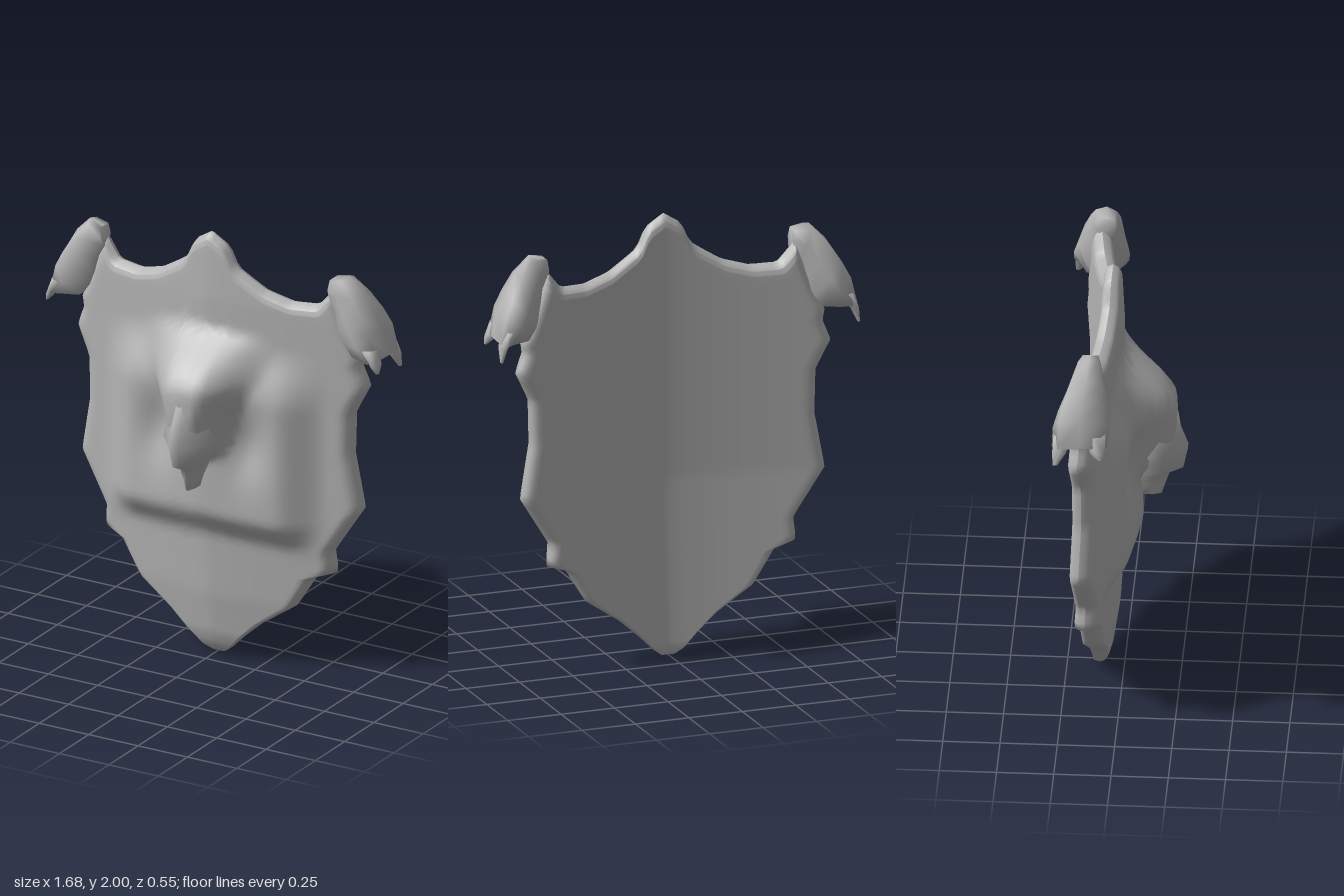
import * as THREE from 'three';

// Piecewise-linear lookup through [key, value] pairs
function lerpTable(table, k) {
  if (k <= table[0][0]) return table[0][1];
  for (let i = 1; i < table.length; i++) {
    const [a, va] = table[i - 1], [b, vb] = table[i];
    if (k <= b) return va + ((vb - va) * (k - a)) / (b - a);
  }
  return table[table.length - 1][1];
}
const smooth = (a, b, x) => THREE.MathUtils.smoothstep(x, a, b);

// Skin a list of equal-length closed rings; optional end caps
function loft(rings, caps) {
  const n = rings[0].length, pos = rings.flat(2), idx = [];
  for (let r = 0; r < rings.length - 1; r++) {
    for (let i = 0; i < n; i++) {
      const j = (i + 1) % n, a = r * n + i, b = r * n + j;
      idx.push(a, b, b + n, a, b + n, a + n);
    }
  }
  if (caps) {
    const last = (rings.length - 1) * n;
    for (let i = 1; i < n - 1; i++) {
      idx.push(0, i + 1, i, last, last + i, last + i + 1);
    }
  }
  const geo = new THREE.BufferGeometry();
  geo.setAttribute('position', new THREE.Float32BufferAttribute(pos, 3));
  geo.setIndex(idx);
  geo.computeVertexNormals();
  return geo;
}

// Half width of the plate by height
const OUTLINE = [
  [0, 0.03], [0.03, 0.07], [0.1, 0.14], [0.18, 0.23], [0.29, 0.39], [0.45, 0.49],
  [0.48, 0.58], [0.58, 0.57], [0.8, 0.71], [1.05, 0.665], [1.25, 0.67],
  [1.38, 0.735], [1.47, 0.7], [1.52, 0.71], [1.6, 0.67], [1.75, 0.61], [1.83, 0.58],
];
// Height of the top edge by distance from the middle
const TOP = [
  [0, 2], [0.08, 1.95], [0.12, 1.86], [0.25, 1.77], [0.36, 1.735], [0.48, 1.74], [0.58, 1.83],
];
const SPINE = [[0, -0.09], [0.1, -0.05], [0.3, -0.02], [0.6, 0], [1.7, 0], [2, -0.015]];
const RIDGE = [
  [0.98, 0], [1.08, 0.13], [1.2, 0.15], [1.35, 0.15], [1.42, 0.12], [1.5, 0.06], [1.57, 0],
];
const RIDGE_WIDTH = [[1, 0.14], [1.2, 0.2], [1.35, 0.28], [1.5, 0.34]];

// Front surface: curved plate, wide raised mask, central brow ridge
function frontZ(x, y) {
  const ax = Math.abs(x);
  const base = lerpTable(SPINE, y) - 0.17 * Math.pow(ax, 1.3);
  const dome = 0.08 * (1 - smooth(0.36, 0.56, ax)) * smooth(0.58, 0.74, y + ax * 0.06) *
    (1 - smooth(1.3, 1.58, y + ax * 0.15));
  const socket = 0.05 * Math.exp(-(((ax - 0.22) / 0.09) ** 2) - ((y - 1.06) / 0.16) ** 2);
  const w = lerpTable(RIDGE_WIDTH, y);
  const ridge = lerpTable(RIDGE, y) * (1 - smooth(w * 0.25, w, ax));
  return base + dome - socket + ridge;
}
const backZ = (x, y) =>
  -0.09 - 0.2 * Math.pow(Math.abs(x), 1.4) - 0.04 * Math.max(0, 1 - y / 0.8);

function plateGeometry() {
  // Rows pass through each outline corner
  const rows = [];
  for (let i = 0; i < OUTLINE.length - 1; i++) {
    const a = OUTLINE[i][0], b = OUTLINE[i + 1][0], n = Math.ceil((b - a) / 0.035);
    for (let k = 0; k < n; k++) rows.push((a + ((b - a) * k) / n) / 1.83);
  }
  rows.push(0.975, 0.985, 0.994, 1);
  rows.sort((a, b) => a - b);

  const half = [];
  for (let i = 0; i <= 24; i++) half.push((i / 24) * 0.92);
  half.push(0.95, 0.975, 0.992, 1);
  const us = [...half.slice(1).reverse().map((u) => -u), ...half];

  const point = (u, v, isFront) => {
    const y = v * lerpTable(TOP, Math.abs(u) * 0.58);
    const x = u * lerpTable(OUTLINE, y);
    const t = Math.max(0, (Math.abs(u) - 0.92) / 0.08, (v - 0.968) / 0.032, 1 - v / 0.02);
    const round = Math.sqrt(Math.max(0, 1 - t * t));
    const f = frontZ(x, y), b = backZ(x, y), mid = (f + b) / 2;
    return [x, y, mid + ((isFront ? f : b) - mid) * round];
  };
  const rings = rows.map((v) => [
    ...us.map((u) => point(u, v, true)).reverse(),
    ...us.map((u) => point(u, v, false)),
  ].reverse());
  return loft(rings, false);
}

// Hooked beak: [y, half width, front z, back z]
function beakGeometry() {
  const sections = [
    [0.85, 0.02, 0.16, 0.07], [0.9, 0.035, 0.175, 0.05], [0.96, 0.06, 0.195, 0.04],
    [0.99, 0.075, 0.255, 0.04], [1.09, 0.12, 0.275, 0.04], [1.18, 0.11, 0.242, 0.04],
    [1.3, 0.07, 0.225, 0.04],
  ];
  return loft(sections.map(([y, w, f, b]) => {
    const m = b + (f - b) * 0.55;
    return [[-w, y, b], [-w * 0.95, y, m], [-w * 0.2, y, f], [w * 0.2, y, f],
      [w * 0.95, y, m], [w, y, b]];
  }), true);
}

// Flared shoulder claw: outer x, y, inner x, y, front z, back z
function clawGeometry() {
  const sections = [
    [0.58, 1.88, 0.57, 1.79, -0.07, -0.16],
    [0.65, 1.9, 0.6, 1.74, -0.06, -0.18],
    [0.72, 1.83, 0.62, 1.66, -0.04, -0.215],
    [0.77, 1.75, 0.65, 1.59, -0.03, -0.25],
    [0.805, 1.68, 0.69, 1.54, -0.025, -0.27],
    [0.835, 1.56, 0.765, 1.53, -0.03, -0.272],
  ];
  const rings = sections.map(([ox, oy, ix, iy, f, b], k) => {
    const m = (f + b) / 2, d = (f - b) * 0.12;
    const lift = k === 0 ? 0 : 0.012;
    return [[ox - lift, oy - lift, f - d], [ox + lift * 0.4, oy, m], [ox, oy - lift, b + d],
      [(ox + ix) / 2, (oy + iy) / 2, b], [ix, iy, b + 2 * d], [ix, iy, m],
      [ix, iy, f - 2 * d], [(ox + ix) / 2, (oy + iy) / 2, f]];
  });
  return loft(rings, true);
}

// Pointed prong hanging from the claw, front or back
function prongGeometry(z, tipZ, tipY) {
  const ring = (x, y, cz, rx, rz) => [0, 1, 2, 3, 4, 5].map((i) => {
    const a = (i * Math.PI) / 3;
    return [x + rx * Math.cos(a), y, cz + rz * Math.sin(a)];
  });
  return loft([
    ring(0.835, tipY, tipZ, 0.006, 0.012),
    ring(0.822, 1.53, (z + tipZ) / 2, 0.02, 0.035),
    ring(0.785, 1.6, z, 0.038, 0.05),
  ].map((r) => r.reverse()), true);
}

// Mirror a geometry across x = 0, keeping faces outward
function mirrorX(geo) {
  const g = geo.clone().scale(-1, 1, 1), idx = g.index.array;
  for (let i = 0; i < idx.length; i += 3) [idx[i], idx[i + 1]] = [idx[i + 1], idx[i]];
  g.computeVertexNormals();
  return g;
}

export function createModel() {
  const group = new THREE.Group();
  group.name = 'shield';
  const stone = new THREE.MeshStandardMaterial({ color: 0xb4b4b4, side: THREE.DoubleSide });
  stone.name = 'stone grey';
  const add = (name, geo) => {
    const mesh = new THREE.Mesh(geo, stone);
    mesh.name = name;
    group.add(mesh);
  };
  add('shieldPlate', plateGeometry());
  add('beak', beakGeometry());
  const pairs = {
    ShoulderClaw: clawGeometry(),
    FrontProng: prongGeometry(-0.08, -0.06, 1.5),
    BackProng: prongGeometry(-0.22, -0.255, 1.47),
  };
  for (const [name, geo] of Object.entries(pairs)) {
    add('left' + name, geo);
    add('right' + name, mirrorX(geo));
  }
  return group;
}
